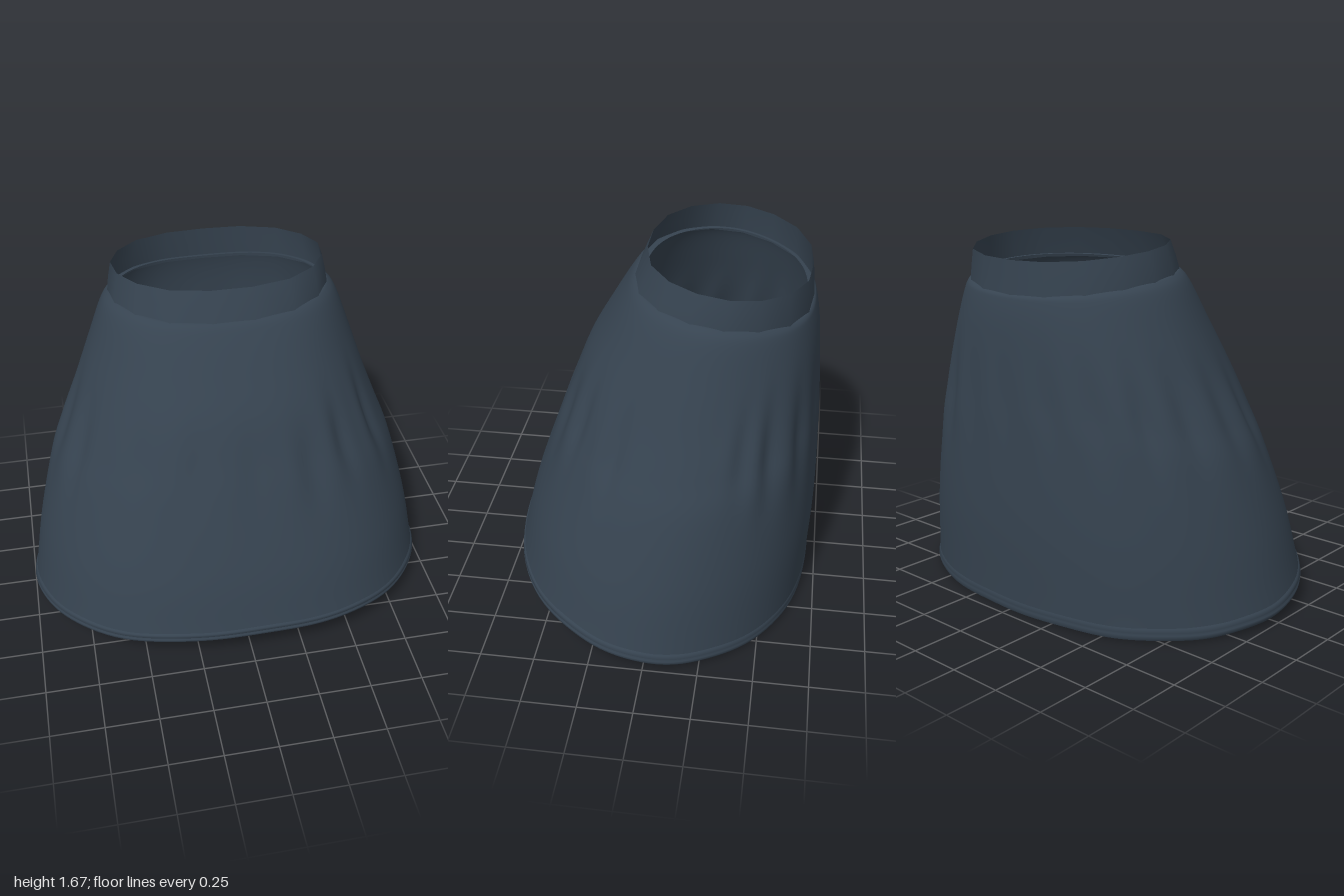
import * as THREE from 'three';

const rad = THREE.MathUtils.degToRad;

// Each section: [front z, front y, back z, back y, half width, side y]
const bodySections = [
  [0.718, 0.2, -0.707, 0.06, 0.985, 0.1],
  [0.65, 0.46, -0.722, 0.42, 0.93, 0.4],
  [0.53, 0.8, -0.715, 0.82, 0.845, 0.72],
  [0.465, 0.97, -0.705, 1.02, 0.775, 0.9],
  [0.385, 1.17, -0.692, 1.22, 0.702, 1.08],
  [0.29, 1.34, -0.68, 1.34, 0.628, 1.28],
  [0.205, 1.48, -0.665, 1.42, 0.56, 1.46],
  [0.158, 1.54, -0.652, 1.45, 0.52, 1.515],
  [0.115, 1.545, -0.62, 1.46, 0.485, 1.522],
];
const waistSections = [
  [0.158, 1.53, -0.652, 1.43, 0.518, 1.5],
  [0.125, 1.61, -0.645, 1.52, 0.507, 1.58],
  [0.095, 1.678, -0.638, 1.6, 0.492, 1.65],
];
const hemSections = [
  [0.716, 0.15, -0.705, 0.008, 0.988, 0.043],
  [0.725, 0.16, -0.709, 0.018, 0.997, 0.055],
  [0.727, 0.174, -0.71, 0.032, 0.998, 0.069],
  [0.717, 0.179, -0.707, 0.037, 0.99, 0.075],
  [0.726, 0.184, -0.71, 0.042, 0.996, 0.081],
  [0.724, 0.198, -0.709, 0.056, 0.99, 0.097],
  [0.714, 0.206, -0.706, 0.066, 0.98, 0.107],
];

// Gathered folds: [angle in degrees (90 = front), depth, middle height, half length, half width in degrees]
const folds = [
  [30, 0.02, 0.95, 0.19, 4], [52, 0.02, 0.97, 0.17, 3.5], [67, 0.015, 0.9, 0.17, 4],
  [87, 0.006, 0.93, 0.17, 4], [106, 0.007, 0.95, 0.17, 4], [127, 0.008, 0.97, 0.17, 4],
  [157, 0.016, 0.9, 0.18, 5], [178, 0.014, 0.93, 0.19, 5], [200, 0.017, 0.95, 0.19, 5],
  [218, 0.018, 0.95, 0.19, 4], [236, 0.012, 0.97, 0.19, 4], [252, 0.009, 0.97, 0.17, 4],
  [270, 0.007, 0.97, 0.17, 4], [287, 0.008, 0.97, 0.19, 4], [302, 0.016, 0.93, 0.22, 4],
  [319, 0.02, 0.95, 0.21, 4], [332, 0.011, 1.0, 0.17, 4],
];

function foldOffset(angle, y) {
  let sum = 0;
  for (const [deg, depth, mid, length, width] of folds) {
    const turn = angle - rad(deg) - (y - mid) * 0.08;
    const d = Math.atan2(Math.sin(turn), Math.cos(turn)) / rad(width);
    const v = (y - mid) / length;
    const ridge = Math.exp(-((d - 1.9) ** 2)) * 0.45;
    sum += depth * (ridge - Math.exp(-d * d)) * Math.exp(-v * v);
  }
  return sum;
}

// Point on a tilted oval section, a little fuller towards front and back
function sectionPoint([fz, fy, bz, by, hw, sy], angle) {
  const c = Math.cos(angle), s = Math.sin(angle);
  const k = 1 + 0.055 * (s * Math.sin(2 * angle)) ** 2;
  return new THREE.Vector3(
    c * hw * k,
    sy + (s * (fy - by)) / 2 + s * s * ((fy + by) / 2 - sy),
    (fz + bz) / 2 + (s * k * (fz - bz)) / 2,
  );
}

// Skin closed rings into one smooth sheet
function loft(sections, sides, adjust) {
  const positions = [], index = [];
  sections.forEach((section, r) => {
    for (let i = 0; i < sides; i++) {
      const angle = -Math.PI / 2 + (i / sides) * Math.PI * 2;
      const p = sectionPoint(section, angle);
      adjust(p, angle);
      positions.push(p.x, p.y, p.z);
      if (r === 0) continue;
      const j = (i + 1) % sides, a = (r - 1) * sides, b = r * sides;
      index.push(a + i, b + i, a + j, a + j, b + i, b + j);
    }
  });
  const g = new THREE.BufferGeometry();
  g.setAttribute('position', new THREE.Float32BufferAttribute(positions, 3));
  g.setIndex(index);
  g.computeVertexNormals();
  return g;
}

// Resample the section table along smooth curves
function refine(sections, count) {
  const curve = (o) => new THREE.CatmullRomCurve3(
    sections.map((s) => new THREE.Vector3(s[o], s[o + 1], s[o + 2])), false, 'catmullrom', 0.5);
  const a = curve(0), b = curve(3);
  return Array.from({ length: count + 1 }, (_, i) => [
    ...a.getPoint(i / count).toArray(), ...b.getPoint(i / count).toArray(),
  ]);
}

export function createModel() {
  const group = new THREE.Group();
  group.name = 'skirt';
  const cloth = new THREE.MeshStandardMaterial({ color: 0x364350, side: THREE.DoubleSide });
  cloth.name = 'slate blue cloth';

  const add = (name, geometry) => {
    const mesh = new THREE.Mesh(geometry, cloth);
    mesh.name = name;
    group.add(mesh);
  };

  // Flared body with gathered folds, tucked in under the waistband
  add('skirtBody', loft(refine(bodySections, 64), 180, (p, angle) => {
    const f = foldOffset(angle, p.y);
    p.x += Math.cos(angle) * f + 0.01 * THREE.MathUtils.smoothstep(p.y, 0.8, 1.5);
    p.z += Math.sin(angle) * f;
  }));

  // Faceted waistband
  add('waistband', loft(waistSections, 17, (p) => { p.x += 0.01; }));

  // Stitched hem with a slightly wavy edge
  add('hem', loft(hemSections, 120, (p, angle) => {
    p.y += 0.004 * Math.sin(angle * 9) * Math.cos(angle * 4 + 1);
  }));

  return group;
}
